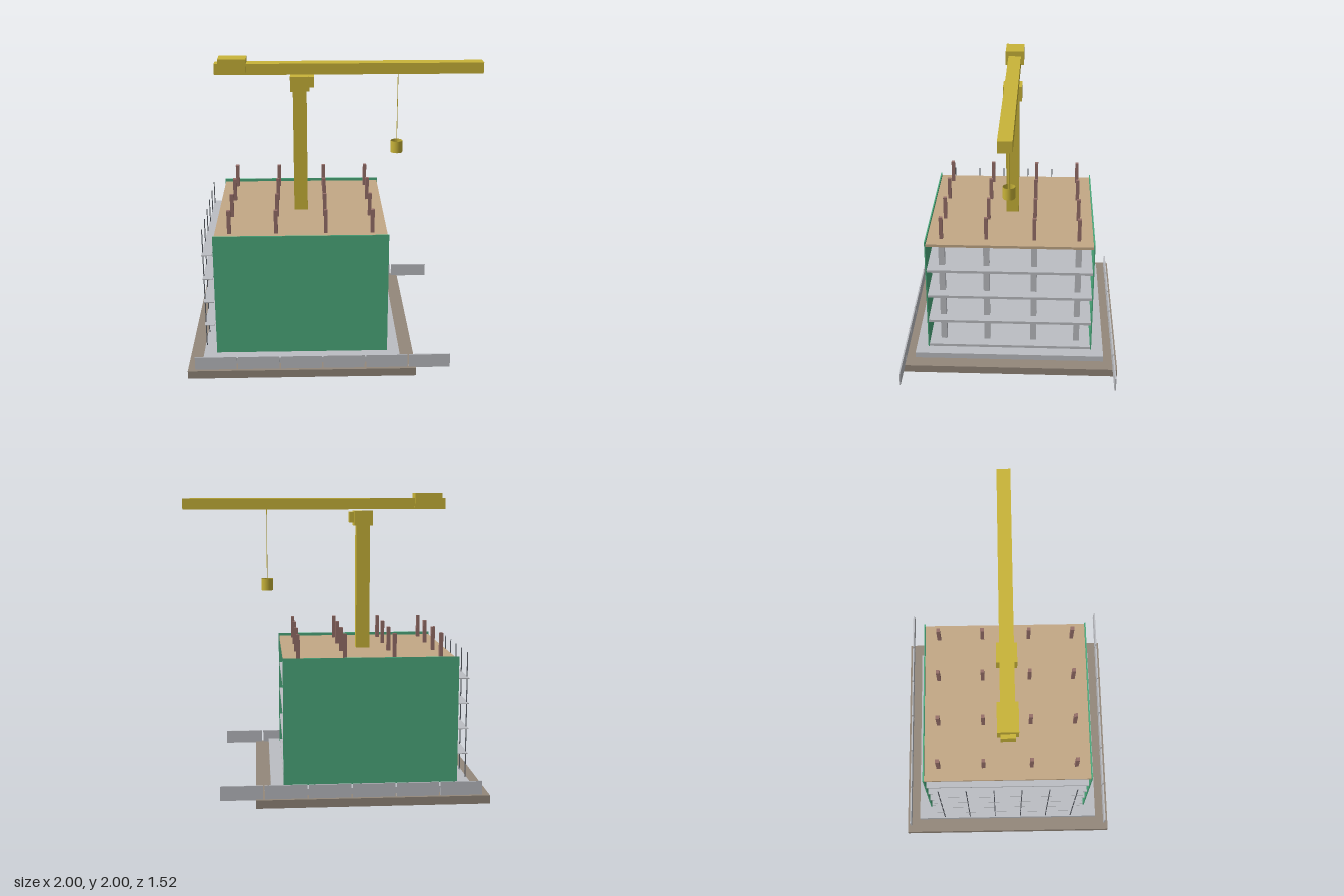
import * as THREE from 'three';

const mat = (name, color, side = THREE.FrontSide) => {
  const m = new THREE.MeshStandardMaterial({ color, side });
  m.name = name;
  return m;
};

export function createModel() {
  const model = new THREE.Group();
  model.name = 'constructionSite';

  const earth = mat('earth brown', 0x94887b);
  const concrete = mat('concrete grey', 0xbcbec3);
  const formwork = mat('formwork tan', 0xc3a886);
  const netting = mat('netting green', 0x4dac7e);
  const rust = mat('rebar rust', 0x97706a);
  const steel = mat('scaffold steel', 0x5c6068);
  const yellow = mat('crane yellow', 0xc9b439, THREE.DoubleSide);

  const group = (name) => {
    const g = new THREE.Group();
    g.name = name;
    model.add(g);
    return g;
  };
  // Box given by its low and high limits on each axis
  const box = (parent, name, material, [x0, x1], [y0, y1], [z0, z1]) => {
    const mesh = new THREE.Mesh(new THREE.BoxGeometry(x1 - x0, y1 - y0, z1 - z0), material);
    mesh.position.set((x0 + x1) / 2, (y0 + y1) / 2, (z0 + z1) / 2);
    mesh.name = name;
    parent.add(mesh);
    return mesh;
  };
  const around = (c, half) => [c - half, c + half];

  // Ground and foundation
  const site = group('site');
  box(site, 'ground', earth, [-1, 0.52], [0, 0.055], [-0.76, 0.76]);
  box(site, 'foundation', concrete, [-0.905, 0.42], [0.055, 0.095], [-0.665, 0.665]);

  // Building frame, centred on the crane mast
  const cx = -0.24;
  const building = group('building');
  for (let i = 0; i < 5; i++) {
    const y = 0.096 + i * 0.202;
    const roof = i === 4;
    box(building, roof ? 'roofFormwork' : 'floorSlab', roof ? formwork : concrete,
      around(cx, 0.573), [y, y + 0.019], around(0, 0.573));
  }
  box(building, 'core', concrete, around(cx, 0.165), [0.115, 0.904], around(0, 0.165));

  // Columns with starter bars above the roof
  const grid = [-0.475, -0.165, 0.165, 0.475];
  for (const dx of grid) {
    for (const z of grid) {
      box(building, 'column', concrete, around(cx + dx, 0.021), [0.115, 0.904], around(z, 0.021));
      box(building, 'starterBars', rust, around(cx + dx, 0.0125), [0.923, 1.085], around(z, 0.0125));
    }
  }

  // Safety nets and site fence on the front and back
  const fence = group('fence');
  for (const side of [-1, 1]) {
    box(building, 'safetyNet', netting, around(cx, 0.578), [0.096, 0.943], around(side * 0.578, 0.004));
    for (let i = 0; i < 6; i++) {
      box(fence, 'fencePanel', concrete, around(-0.815 + i * 0.285, 0.137), [0.05, 0.145],
        around(side * 0.733, 0.005));
    }
  }

  // Scaffold on the -x side
  const scaffold = group('scaffold');
  for (let i = 0; i < 6; i++) {
    box(scaffold, 'scaffoldPost', steel, around(-0.895, 0.003), [0.095, 0.953],
      around(-0.475 + i * 0.19, 0.003));
  }
  for (let i = 0; i < 4; i++) {
    box(scaffold, 'scaffoldDeck', concrete, [-0.9, -0.832], around(0.272 + i * 0.171, 0.003), around(0, 0.523));
  }

  // Tower crane
  const crane = group('crane');
  box(crane, 'mast', yellow, around(cx, 0.047), [0.923, 1.78], around(0, 0.045));
  box(crane, 'slewingHead', yellow, around(cx, 0.065), [1.778, 1.88], around(0, 0.065));
  box(crane, 'cab', yellow, [-0.2, -0.143], [1.8, 1.872], around(0, 0.035));
  box(crane, 'jib', yellow, [-0.812, 1], [1.89, 1.965], around(0, 0.045));
  box(crane, 'counterweight', yellow, [-0.785, -0.597], [1.9, 2], around(0, 0.065));

  const cable = new THREE.Mesh(new THREE.CylinderGeometry(0.0025, 0.0025, 0.56, 6), yellow);
  cable.position.set(0.427, 1.61, 0);
  cable.name = 'hoistCable';
  const bucket = new THREE.Mesh(new THREE.CylinderGeometry(0.041, 0.041, 0.082, 16, 1, true), yellow);
  bucket.position.set(0.427, 1.372, 0);
  bucket.name = 'bucket';
  crane.add(cable, bucket);

  return model;
}
